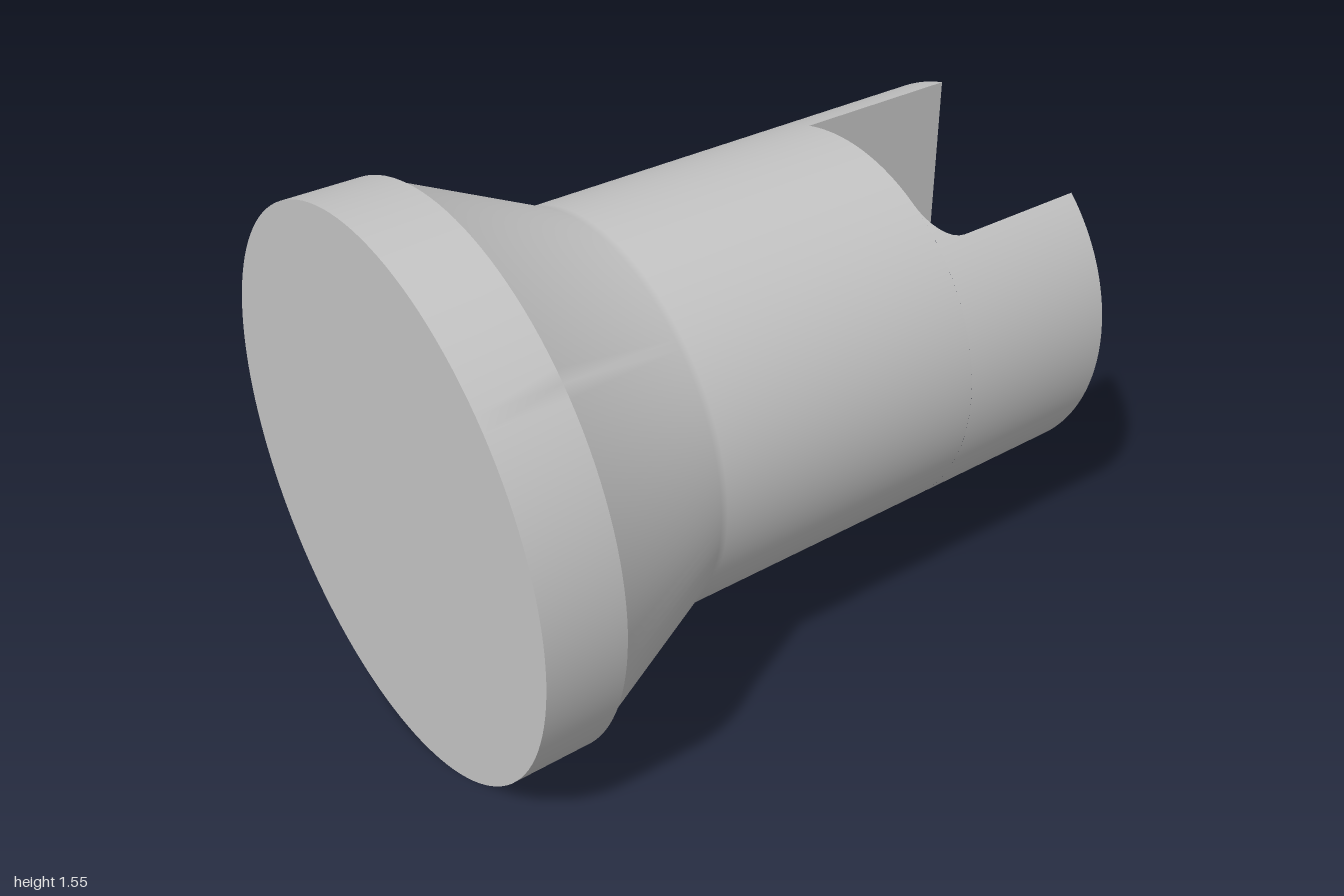
import * as THREE from 'three';
import { toCreasedNormals } from 'three/addons/utils/BufferGeometryUtils.js';

const R = 0.575;                 // shaft radius
const HEAD = 0.777;              // head radius
const FLOOR = -0.49, END = -1;   // slot floor and shaft end along z
const LEFT = -0.14, RIGHT = 0.4; // slot walls along x
const FILLET = 0.1;
const CREASE = Math.PI / 6;

const halfHeight = (x) => Math.sqrt(Math.max(0, R * R - x * x));

// Plan outline [x, z] of the slotted end, from -x to +x
function slotOutline() {
  const pts = [];
  const n = 28;
  const tLeft = Math.acos(-LEFT / R), tRight = Math.acos(RIGHT / R);
  for (let i = 0; i <= n; i++) pts.push([-R * Math.cos((tLeft * i) / n), END]);
  for (let i = 0; i <= 16; i++) pts.push([LEFT + ((RIGHT - FILLET - LEFT) * i) / 16, FLOOR]);
  for (let i = 1; i <= 8; i++) {
    const a = (Math.PI / 2) * (i / 8);
    pts.push([RIGHT - FILLET + FILLET * Math.sin(a), FLOOR - FILLET + FILLET * Math.cos(a)]);
  }
  for (let i = 0; i <= n; i++) pts.push([R * Math.cos(tRight * (1 - i / n)), END]);
  return pts;
}

function fromQuads(quads) {
  const pos = [];
  for (const [a, b, c, d] of quads) pos.push(...a, ...b, ...c, ...a, ...c, ...d);
  const g = new THREE.BufferGeometry();
  g.setAttribute('position', new THREE.Float32BufferAttribute(pos, 3));
  return toCreasedNormals(g, CREASE);
}

export function createModel() {
  const group = new THREE.Group();
  const grey = new THREE.MeshStandardMaterial({ color: 0xc4c4c4 });
  grey.name = 'light grey';

  const add = (name, geometry) => {
    const mesh = new THREE.Mesh(geometry, grey);
    mesh.name = name;
    mesh.position.y = HEAD;
    group.add(mesh);
  };

  // Shaft, flared neck and flat round head
  const profile = [
    [R, FLOOR], [R, 0.34], [R, 0.36], [0.768, 0.78], [HEAD, 0.78], [HEAD, 1], [0, 1],
  ].map(([r, z]) => new THREE.Vector2(r, z));
  const body = new THREE.LatheGeometry(profile, 128).rotateX(Math.PI / 2);
  add('shaftAndHead', toCreasedNormals(body, CREASE));

  // Slot walls, floor, fillet and prong ends; then the prongs' round outsides
  const inner = [], outer = [];
  const outline = slotOutline();
  for (let i = 0; i < outline.length - 1; i++) {
    const [x0, z0] = outline[i], [x1, z1] = outline[i + 1];
    const y0 = halfHeight(x0), y1 = halfHeight(x1);
    inner.push([[x0, -y0, z0], [x0, y0, z0], [x1, y1, z1], [x1, -y1, z1]]);
    if (x1 - x0 < 1e-6 || (z0 === FLOOR && z1 === FLOOR)) continue;
    for (const s of [1, -1]) {
      const quad = [[x0, s * y0, z0], [x0, s * y0, FLOOR], [x1, s * y1, FLOOR], [x1, s * y1, z1]];
      outer.push(s > 0 ? quad : quad.reverse());
    }
  }
  add('slotAndProngEnds', fromQuads(inner));
  add('prongOutsides', fromQuads(outer));

  return group;
}
